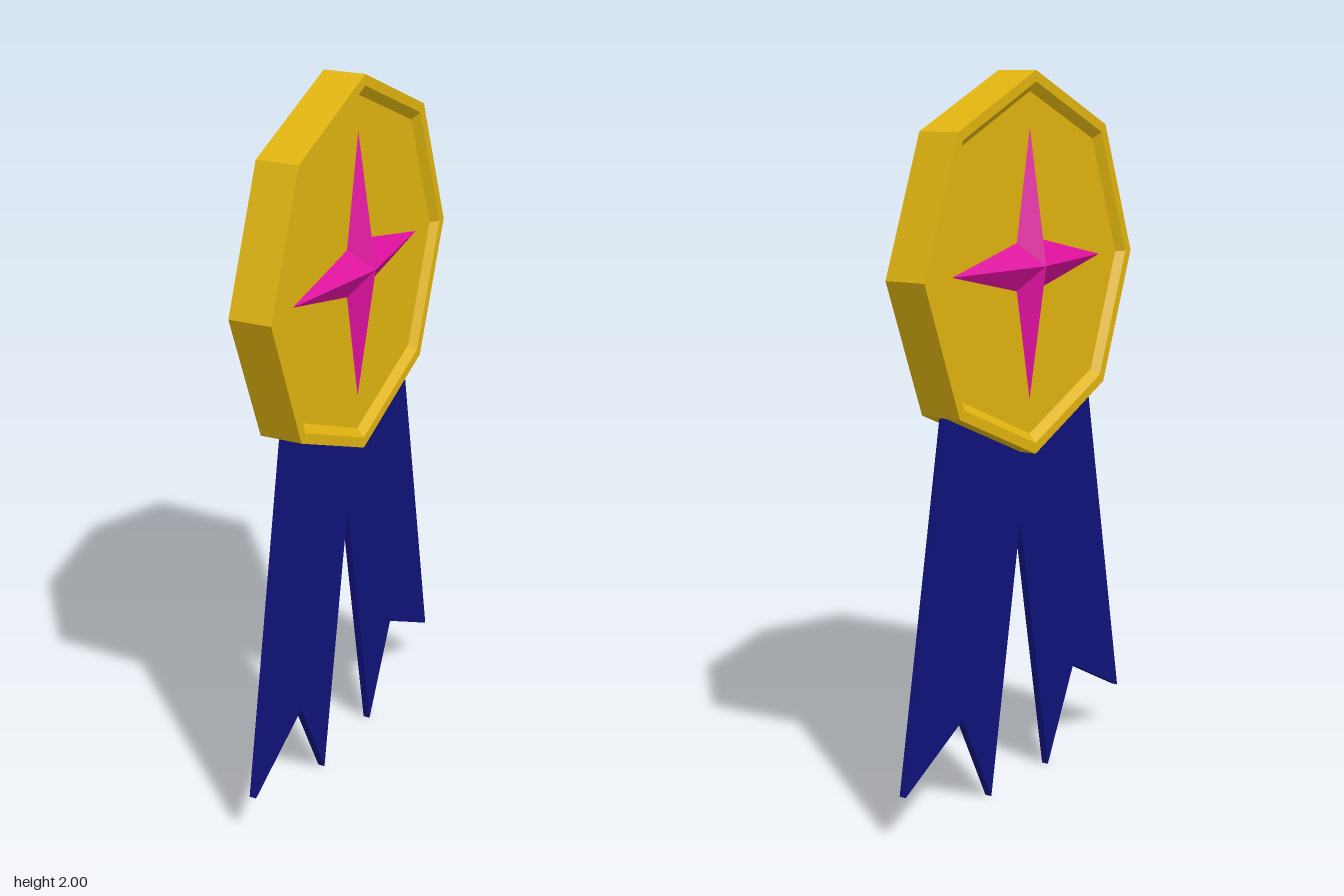
import * as THREE from 'three';

const material = (color) => new THREE.MeshStandardMaterial({ color, flatShading: true });

function addMesh(parent, name, geometry, mat) {
  const mesh = new THREE.Mesh(geometry, mat);
  mesh.name = name;
  parent.add(mesh);
  return mesh;
}

// Four-pointed raised star: a cone whose every other rim corner is pulled inward
function starGeometry(tipRadius, notchRadius, height) {
  const geometry = new THREE.ConeGeometry(tipRadius, height, 8, 1, true);
  const pos = geometry.attributes.position;
  const k = notchRadius / tipRadius;
  for (let i = 10; i < 18; i += 2) {
    pos.setXYZ(i, pos.getX(i) * k, pos.getY(i), pos.getZ(i) * k);
  }
  geometry.translate(0, height / 2, 0);
  geometry.rotateZ(-Math.PI / 2);
  geometry.computeVertexNormals();
  return geometry;
}

export function createModel() {
  const model = new THREE.Group();
  model.name = 'awardRosette';
  const gold = material(0xe0b410);
  const pink = material(0xe010a0);
  const navy = material(0x10127a);
  const centreY = 1.48;

  // Octagonal medal with a raised, bevelled rim on both faces
  const profile = [
    [0, -0.04], [0.465, -0.04], [0.49, -0.06], [0.52, -0.06],
    [0.52, 0.06], [0.49, 0.06], [0.465, 0.04], [0, 0.04],
  ].map(([r, h]) => new THREE.Vector2(r, h));
  const medalGeometry = new THREE.LatheGeometry(profile, 8);
  medalGeometry.rotateZ(-Math.PI / 2);
  addMesh(model, 'medal', medalGeometry, gold).position.y = centreY;

  // A star on each face
  const star = starGeometry(0.37, 0.092, 0.053);
  for (const [name, side] of [['leftStar', 1], ['rightStar', -1]]) {
    const mesh = addMesh(model, name, star, pink);
    mesh.position.set(side * 0.04, centreY, 0);
    mesh.rotation.y = side > 0 ? 0 : Math.PI;
  }

  // Two notched ribbon tails joined behind the medal, mirrored about the middle
  const half = [[0.15, 0], [0.29, 0.265], [0.555, 0.13], [0.35, 1.16]];
  const outline = [
    [0, 0.765], ...half,
    ...half.map(([x, y]) => [-x, y]).reverse(),
  ].map(([x, y]) => new THREE.Vector2(x, y));
  const ribbonGeometry = new THREE.ExtrudeGeometry(new THREE.Shape(outline), {
    depth: 0.02, bevelEnabled: false,
  });
  ribbonGeometry.translate(0, 0, -0.01);
  ribbonGeometry.rotateY(Math.PI / 2);
  addMesh(model, 'ribbonTails', ribbonGeometry, navy);

  return model;
}
